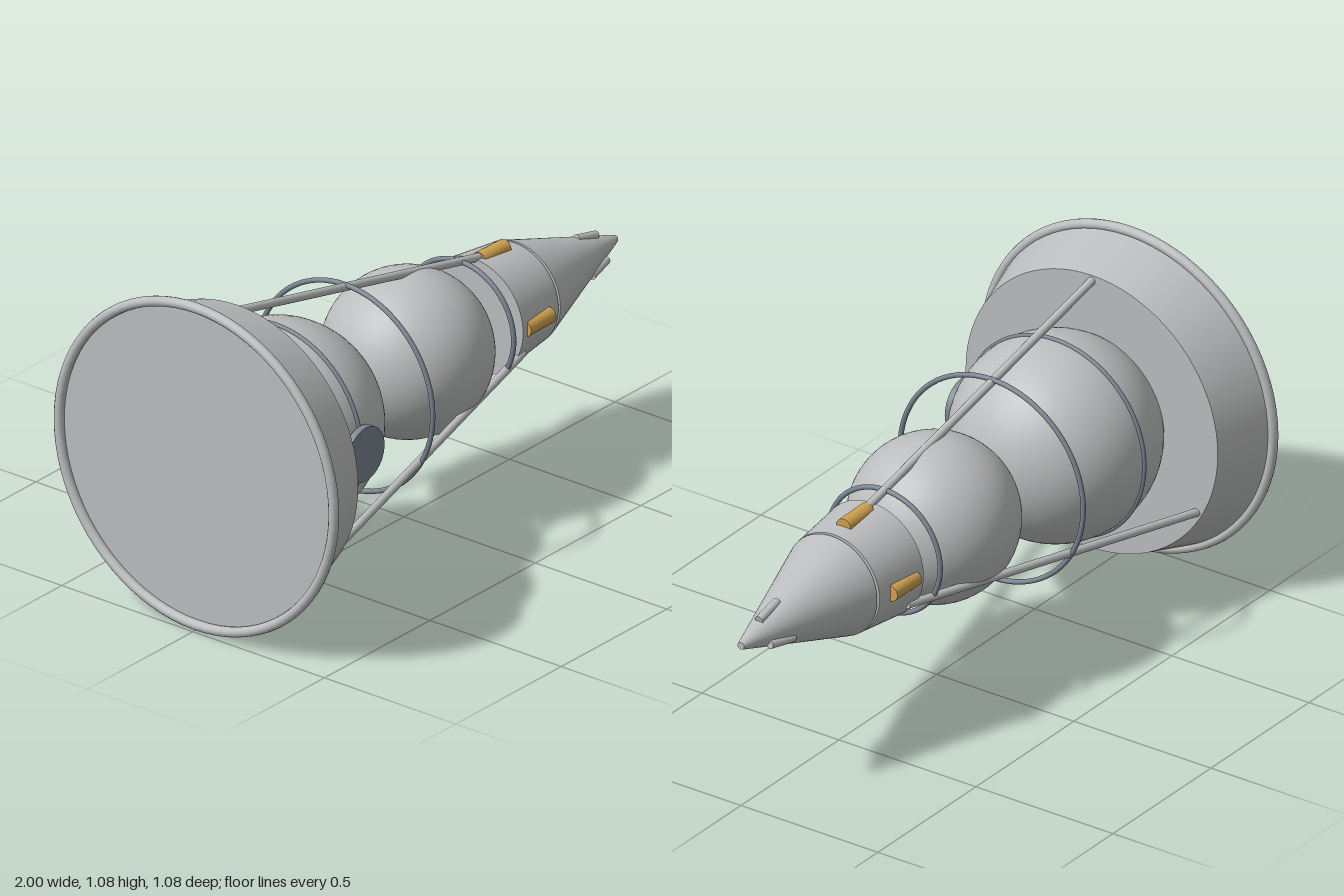
import * as THREE from 'three';

export function createModel() {
  const model = new THREE.Group();
  model.name = 'probe';
  // Everything is built around the long x axis, then lifted
  const craft = new THREE.Group();
  craft.name = 'craft';
  craft.position.y = 0.539;
  model.add(craft);

  const paint = (name, color) => {
    const m = new THREE.MeshStandardMaterial({ color });
    m.name = name;
    return m;
  };
  const hull = paint('hullGrey', 0xbcbdbe);
  const steel = paint('steelBlue', 0x7b8591);
  const gold = paint('gold', 0xd0a250);

  const add = (name, geometry, material) => {
    const mesh = new THREE.Mesh(geometry, material);
    mesh.name = name;
    craft.add(mesh);
    return mesh;
  };
  // Frustum along x from x0 (radius r0) to x1 (radius r1)
  const frustum = (name, x0, r0, x1, r1, material, sides = 64) =>
    add(name, new THREE.CylinderGeometry(r1, r0, x1 - x0, sides)
      .rotateZ(-Math.PI / 2).translate((x0 + x1) / 2, 0, 0), material);
  const ball = (name, x, r) =>
    add(name, new THREE.SphereGeometry(r, 64, 40).rotateZ(-Math.PI / 2).translate(x, 0, 0), hull);
  const hoop = (name, x, r, tube, material) =>
    add(name, new THREE.TorusGeometry(r, tube, 12, 80).rotateY(Math.PI / 2).translate(x, 0, 0), material);
  // Round bar from (x0, radius d0) to (x1, radius d1), turned about the x axis
  const bar = (name, x0, d0, x1, d1, r, angle, material) => {
    const length = Math.hypot(x1 - x0, d1 - d0);
    const geometry = new THREE.CylinderGeometry(r, r, length, 20)
      .rotateZ(Math.atan2(d1 - d0, x1 - x0) - Math.PI / 2)
      .translate((x0 + x1) / 2, (d0 + d1) / 2, 0)
      .rotateX(angle);
    return add(name, geometry, material);
  };

  // Flared base with rolled rim
  frustum('base', -0.975, 0.515, -0.79, 0.46, hull, 80);
  hoop('baseRim', -0.984, 0.523, 0.016, hull);

  // Two pressure spheres and the hoops around them
  ball('rearSphere', -0.605, 0.323);
  hoop('rearSphereBand', -0.605, 0.324, 0.007, steel);
  ball('frontSphere', 0.015, 0.262);
  hoop('largeHoop', -0.28, 0.334, 0.008, steel);
  hoop('smallHoop', 0.267, 0.203, 0.008, steel);

  // Round hatch on the front side of the rear sphere
  add('hatch', new THREE.CylinderGeometry(0.088, 0.088, 0.022, 40)
    .rotateX(Math.PI / 2).translate(-0.605, 0, 0.33), steel);

  // Forward body, joint and nose cone
  frustum('forwardBody', 0.33, 0.188, 0.525, 0.166, hull);
  frustum('noseJoint', 0.52, 0.155, 0.54, 0.155, steel);
  frustum('noseCone', 0.535, 0.165, 1, 0.012, hull);

  // Long struts and small nose pins, three of each
  for (let i = 0; i < 3; i++) {
    const angle = i * Math.PI * 2 / 3;
    bar('strut', -0.795, 0.442, 0.37, 0.18, 0.013, angle, hull);
    bar('nosePin', 0.815, 0.068, 0.908, 0.046, 0.014, angle, hull);
  }

  // Four gold pods around the forward body
  for (let i = 0; i < 4; i++) {
    bar('goldPod', 0.355, 0.173, 0.476, 0.171, 0.026, i * Math.PI / 2, gold);
  }
  return model;
}
